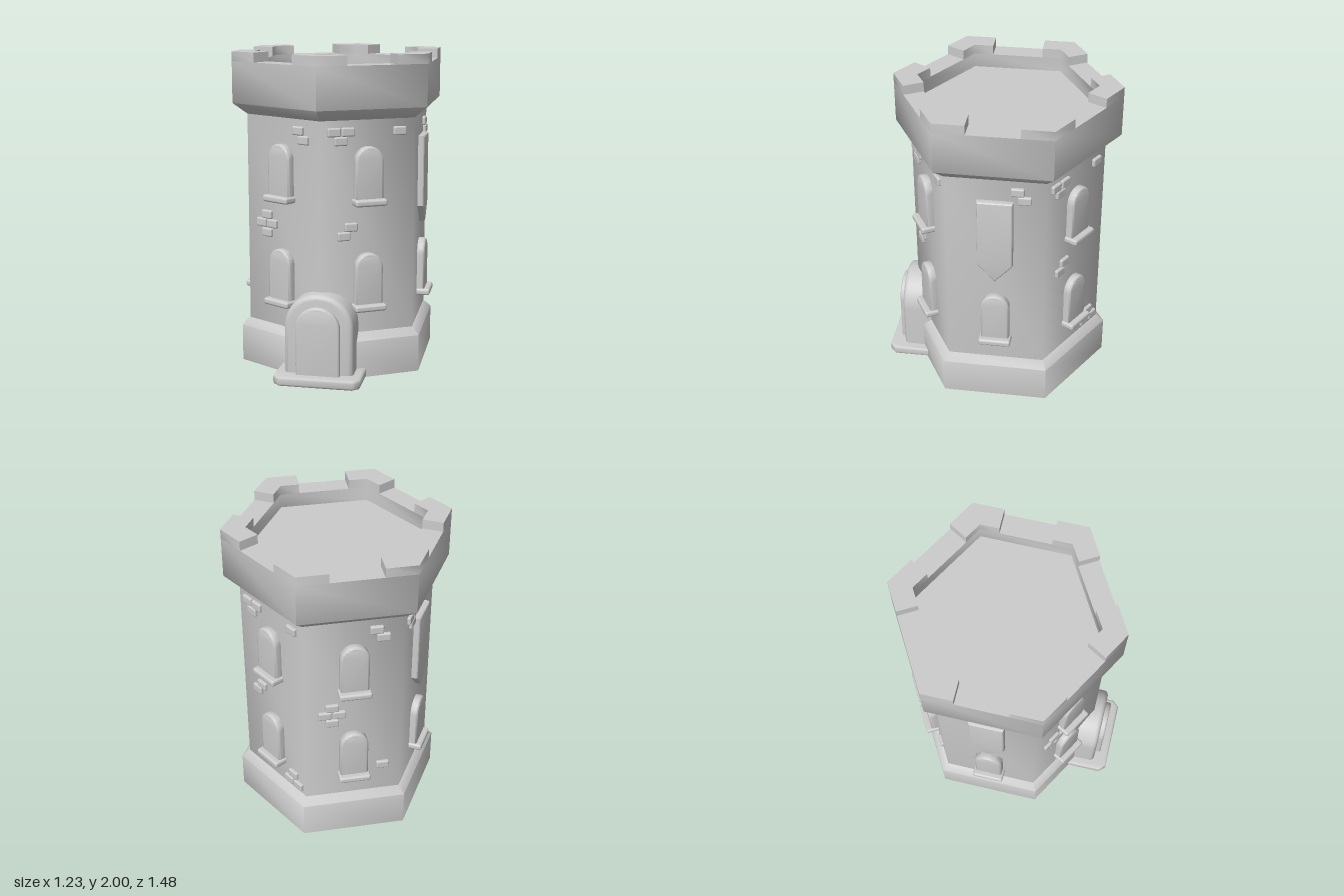
import * as THREE from 'three';
import { toCreasedNormals } from 'three/addons/utils/BufferGeometryUtils.js';
import { RoundedBoxGeometry } from 'three/addons/geometries/RoundedBoxGeometry.js';

const mat = new THREE.MeshStandardMaterial({ color: 0xcccccc });
const V = (x, y) => new THREE.Vector2(x, y);
const CZ = -0.035;             // tower axis
const WALL = 0.61;             // wall corner radius
const APOTHEM = WALL * Math.cos(Math.PI / 6);

function add(parent, name, geo, x = 0, y = 0, z = 0) {
  const m = new THREE.Mesh(geo, mat);
  m.name = name;
  m.position.set(x, y, z);
  parent.add(m);
  return m;
}

// Six-sided body of revolution, smooth around its corners
const hexBody = (pts) =>
  toCreasedNormals(new THREE.LatheGeometry(pts.map(([r, y]) => V(r, y)), 6), 1.1);

// Extrusion whose bevel stays inside the outline
function slab(shape, depth, bevel, crease = 0.9) {
  const geo = new THREE.ExtrudeGeometry(shape, {
    depth: depth - bevel, bevelEnabled: bevel > 0, bevelSize: bevel, bevelThickness: bevel,
    bevelOffset: -bevel, bevelSegments: 3, curveSegments: 14,
  });
  return toCreasedNormals(geo, crease);
}

// Outline of a round or slightly pointed arch, standing on y0
function archPath(path, w, y0, spring, top) {
  const k = 0.56, h = top - spring;
  path.moveTo(-w, y0);
  path.lineTo(w, y0);
  path.lineTo(w, spring);
  path.bezierCurveTo(w, spring + h * k, w * k, top, 0, top);
  path.bezierCurveTo(-w * k, top, -w, spring + h * k, -w, spring);
  path.closePath();
  return path;
}

function archRing(outer, inner) {
  const s = archPath(new THREE.Shape(), ...outer);
  s.holes.push(archPath(new THREE.Path(), ...inner));
  return s;
}

const frameGeo = slab(archRing([0.09, 0, 0.25, 0.345], [0.055, 0.02, 0.25, 0.31]), 0.048, 0.015, 1.2);
const sillGeo = new RoundedBoxGeometry(0.205, 0.042, 0.1, 3, 0.015);
const brickGeo = new RoundedBoxGeometry(0.083, 0.054, 0.05, 2, 0.01);

function addWindow(face, y) {
  const g = new THREE.Group();
  g.name = 'window';
  g.position.y = y;
  add(g, 'windowFrame', frameGeo, 0, 0.015, 0);
  add(g, 'windowSill', sillGeo, 0, 0.02, 0.035);
  face.add(g);
}

function addBanner(face) {
  const s = new THREE.Shape([V(-0.11, 1.02), V(0, 0.9), V(0.11, 1.02), V(0.11, 1.47), V(-0.11, 1.47)]);
  add(face, 'banner', slab(s, 0.04, 0.015, 0.5));
}

// Brick positions on a wall face: along the wall, height
const topTrio = [[-0.218, 1.54], [-0.175, 1.485], [-0.128, 1.54], [0.205, 1.535]];
const midPair = [[-0.108, 0.955], [-0.155, 0.9]];
const topPair = [[0.135, 1.54], [0.178, 1.485]];
const cross = [[-0.134, 0.99], [-0.18, 0.935], [-0.09, 0.935], [-0.134, 0.875]];
const lowTrio = [[0.185, 0.4], [0.143, 0.335], [0.233, 0.335]];
const lowSingle = [[0.19, 0.49]];

function addFace(parent, i) {
  const face = new THREE.Group();
  face.name = 'wallFace';
  const angle = Math.PI / 6 + i * Math.PI / 3;
  const inner = new THREE.Group();
  inner.name = 'wallDetails';
  inner.position.z = APOTHEM;
  face.rotation.y = angle;
  face.add(inner);
  parent.add(face);

  const side = i === 1 || i === 4;      // the two faces towards +x and -x
  addWindow(inner, 0.43);
  if (side) addBanner(inner);
  else addWindow(inner, 1.09);

  const bricks = i % 2 === 0 ? [...topTrio] : [...topPair];
  if (!side) bricks.push(...(i % 2 === 0 ? midPair : cross));
  if (i === 2) bricks.push(...lowTrio);
  if (i === 3) bricks.push(...lowSingle);
  for (const [u, y] of bricks) add(inner, 'brick', brickGeo, u, y, -0.005);
}

function addCrown(parent) {
  const R = 0.705, r = 0.555;
  add(parent, 'crown', hexBody([[0.58, 1.6], [WALL, 1.61], [R, 1.68], [R, 1.94], [r, 1.94], [r, 1.85], [0, 1.85]]));
  // L-shaped merlon wrapped around a corner
  const s = new THREE.Shape([
    V(0, R), V(-0.167, R - 0.096), V(-0.102, R - 0.209), V(0, r), V(0.102, R - 0.209), V(0.167, R - 0.096),
  ]);
  const geo = slab(s, 0.06, 0, 1.1).rotateX(Math.PI / 2);
  for (let i = 0; i < 6; i++) add(parent, 'merlon', geo, 0, 2, 0).rotation.y = i * Math.PI / 3;
}

function addEntrance(parent) {
  const g = new THREE.Group();
  g.name = 'entrance';
  parent.add(g);

  // Chamfered doorstep
  const step = new THREE.Shape([
    V(-0.27, 0.45), V(0.27, 0.45), V(0.27, 0.7), V(0.23, 0.74), V(-0.23, 0.74), V(-0.27, 0.7),
  ]);
  const stepGeo = new THREE.ExtrudeGeometry(step, {
    depth: 0.03, bevelSize: 0.015, bevelThickness: 0.015, bevelOffset: -0.015, bevelSegments: 3,
  });
  add(g, 'doorstep', toCreasedNormals(stepGeo.rotateX(Math.PI / 2), 0.9), 0, 0.045, 0);

  // Porch, door frame and door
  add(g, 'porch', slab(archRing([0.215, 0, 0.35, 0.56], [0.12, 0.03, 0.34, 0.47]), 0.34, 0.03), 0, 0, 0.305);
  add(g, 'doorFrame', slab(archRing([0.138, 0.03, 0.35, 0.488], [0.1, 0.05, 0.34, 0.445]), 0.08, 0.012), 0, 0, 0.6);
  add(g, 'door', slab(archPath(new THREE.Shape(), 0.11, 0.04, 0.34, 0.455), 0.2, 0), 0, 0, 0.435);
  for (const y of [0.16, 0.345]) {
    add(g, 'doorBand', new RoundedBoxGeometry(0.2, 0.052, 0.05, 3, 0.014), 0, y, 0.637);
  }
  for (const x of [-0.035, 0.035]) {
    add(g, 'doorSeam', new THREE.BoxGeometry(0.004, 0.36, 0.006), x, 0.24, 0.634);
  }
  add(g, 'doorKnob', new THREE.SphereGeometry(0.017, 14, 10), 0.055, 0.255, 0.65);
}

export function createModel() {
  const model = new THREE.Group();
  model.name = 'castleTower';
  const tower = new THREE.Group();
  tower.name = 'tower';
  tower.position.z = CZ;
  model.add(tower);

  const B = 0.664;
  add(tower, 'base', hexBody([[0, 0], [B, 0], [B, 0.235], [WALL, 0.282], [0.59, 0.282]]));
  add(tower, 'wall', hexBody([[WALL, 0.28], [WALL, 1.615]]));
  addCrown(tower);
  for (let i = 0; i < 6; i++) addFace(tower, i);
  addEntrance(model);
  return model;
}
